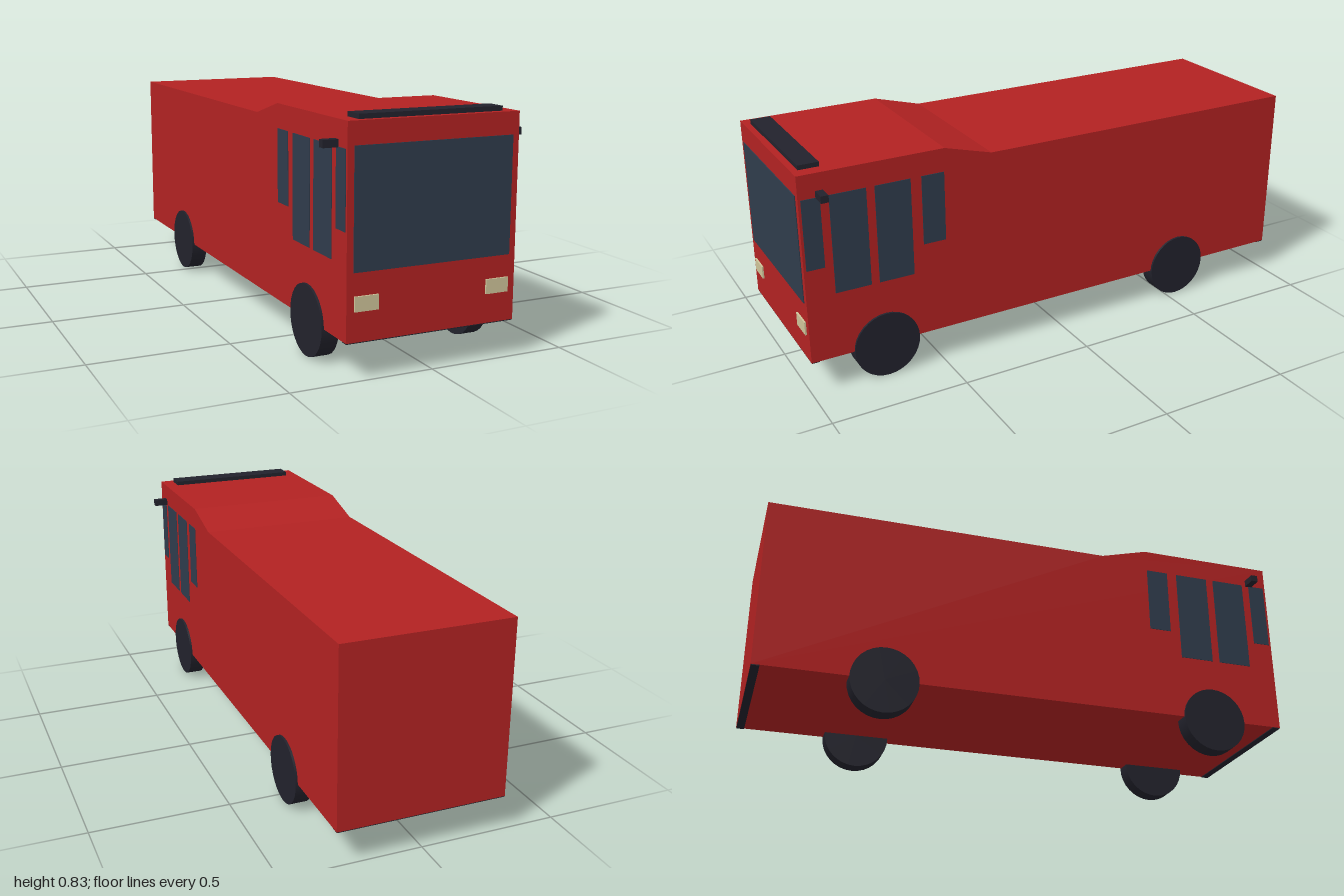
import * as THREE from 'three';

const mat = (name, color) => {
  const m = new THREE.MeshStandardMaterial({ color });
  m.name = name;
  return m;
};

export function createModel() {
  const red = mat('red paint', 0xb22222);
  const dark = mat('dark rubber', 0x22222c);
  const glass = mat('tinted glass', 0x2f3c4c);
  const cream = mat('headlight cream', 0xcfc49a);

  const truck = new THREE.Group();
  truck.name = 'truck';
  const HALF = 0.307, FRONT = 0.994, BACK = -1, FLOOR = 0.125;

  const add = (name, geometry, material) => {
    const mesh = new THREE.Mesh(geometry, material);
    mesh.name = name;
    truck.add(mesh);
    return mesh;
  };
  // Box given by its limits on each axis
  const box = (name, material, [x0, x1], [y0, y1], [z0, z1]) =>
    add(name, new THREE.BoxGeometry(x1 - x0, y1 - y0, z1 - z0), material)
      .position.set((x0 + x1) / 2, (y0 + y1) / 2, (z0 + z1) / 2);
  // The same box on one side or the other
  const sideBox = (name, material, side, [x0, x1], y, z) =>
    box(name, material, side > 0 ? [x0, x1] : [-x1, -x0], y, z);

  // Body: side profile (z, y) with the raised cab roof, extruded across the width
  const profile = new THREE.Shape([
    [BACK, FLOOR], [FRONT, FLOOR], [FRONT, 0.815],
    [0.47, 0.815], [0.29, 0.765], [BACK, 0.765],
  ].map(([z, y]) => new THREE.Vector2(z, y)));
  const body = new THREE.ExtrudeGeometry(profile, { depth: 2 * HALF, bevelEnabled: false });
  body.translate(0, 0, -HALF).rotateY(-Math.PI / 2);
  add('body', body, red);

  // Windscreen and roof light bar
  box('windscreen', glass, [-0.284, 0.284], [0.348, 0.74], [FRONT - 0.003, FRONT + 0.003]);
  box('lightBar', dark, [-0.258, 0.258], [0.813, 0.831], [0.897, 0.97]);

  // Bumper strips under both ends
  box('frontBumper', dark, [-0.306, 0.306], [0.122, 0.13], [FRONT - 0.03, FRONT - 0.001]);
  box('rearBumper', dark, [-0.306, 0.306], [0.122, 0.13], [BACK + 0.001, BACK + 0.03]);

  // Side windows: z range and sill height
  const windows = [
    [0.92, 0.985, 0.475], [0.76, 0.89, 0.37], [0.6, 0.73, 0.37], [0.475, 0.56, 0.475],
  ];
  for (const side of [1, -1]) {
    const label = side > 0 ? 'left' : 'right';
    windows.forEach(([z0, z1, sill], i) =>
      sideBox(`${label}Window${i + 1}`, glass, side, [HALF - 0.002, HALF + 0.002], [sill, 0.73], [z0, z1]));
    sideBox(`${label}Headlight`, cream, side, [0.197, 0.281], [0.224, 0.273], [FRONT - 0.003, 1]);
    sideBox(`${label}Mirror`, dark, side, [0.3, 0.36], [0.728, 0.753], [0.907, 0.934]);

    // Wheels
    for (const [end, z] of [['Front', 0.715], ['Rear', -0.545]]) {
      const wheel = add(`${label}${end}Wheel`, new THREE.CylinderGeometry(0.123, 0.123, 0.062, 32), dark);
      wheel.rotation.z = Math.PI / 2;
      wheel.position.set(side * 0.284, 0.123, z);
    }
  }
  return truck;
}
